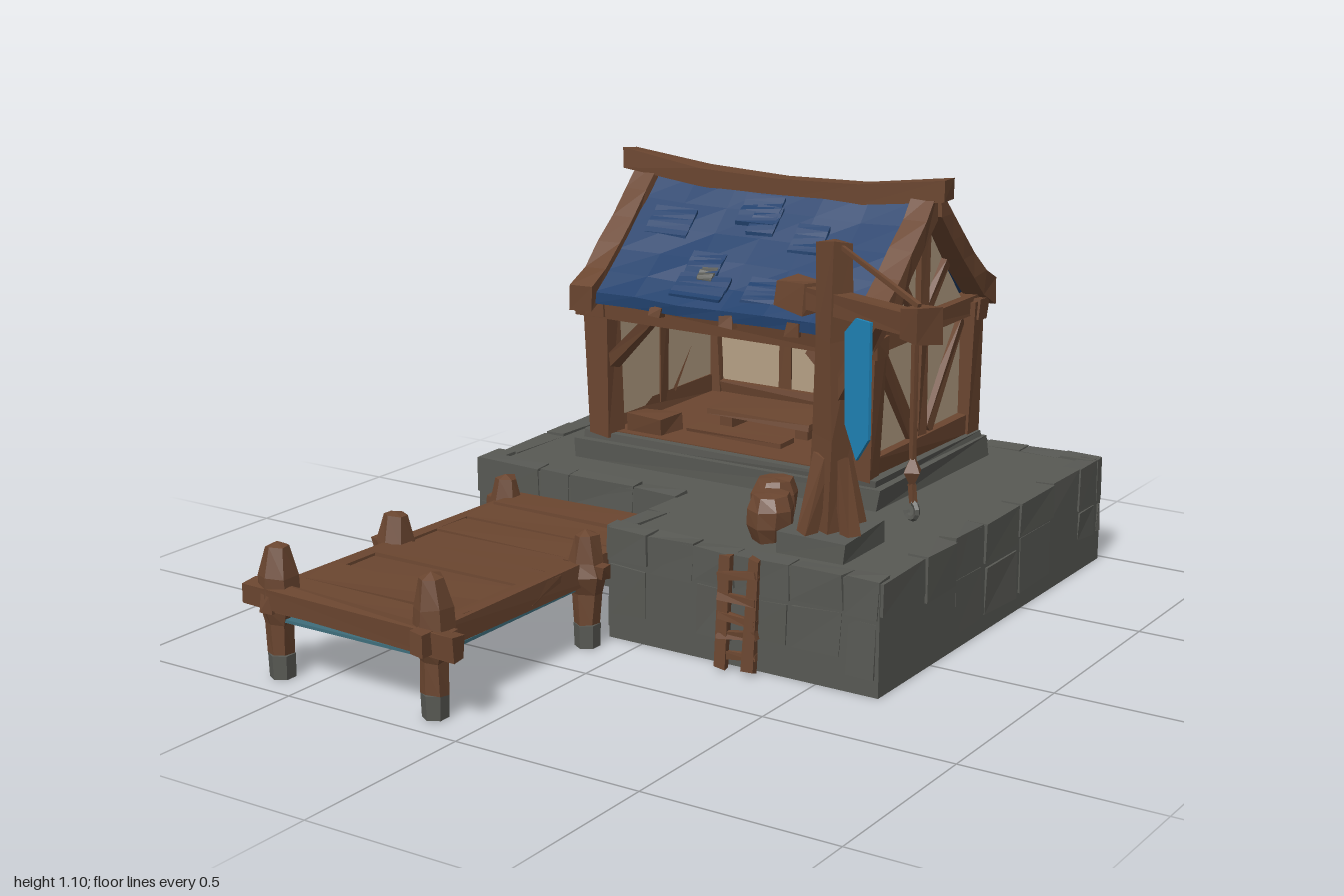
import * as THREE from 'three';

const mat = (name, color) => Object.assign(new THREE.MeshStandardMaterial({ color }), { name });

export function createModel() {
  const model = new THREE.Group();
  model.name = 'harbourHut';
  const stone = mat('stone', 0x585954), wood = mat('wood', 0x6b4630), plaster = mat('plaster', 0xb5a085);
  const roofBlue = mat('roofBlue', 0x1f3f6b), flagBlue = mat('flagBlue', 0x2084b8), teal = mat('teal', 0x3f6e7c);

  let seed = 7;
  const rand = (a = 0, b = 1) => {
    seed = (seed * 16807) % 2147483647;
    return a + (b - a) * (seed / 2147483647);
  };
  // Nudges corners by position so shared corners stay together, then facets the shape
  const chip = (geo, amt) => {
    const p = geo.attributes.position, k = rand(1, 9), moved = new Map();
    for (let i = 0; i < p.count; i++) {
      const key = [p.getX(i), p.getY(i), p.getZ(i)].map((v) => Math.round(v * 1e4)).join();
      if (!moved.has(key)) moved.set(key, [0, 1, 2].map(() => rand(-amt, amt) * (k > 0 ? 1 : 0)));
      const m = moved.get(key);
      p.setXYZ(i, p.getX(i) + m[0], p.getY(i) + m[1], p.getZ(i) + m[2]);
    }
    const flat = geo.index ? geo.toNonIndexed() : geo;
    flat.computeVertexNormals();
    return flat;
  };
  const add = (parent, name, geo, material, x = 0, y = 0, z = 0, amt = 0) => {
    const m = new THREE.Mesh(chip(geo, amt), material);
    m.name = name;
    m.position.set(x, y, z);
    parent.add(m);
    return m;
  };
  const group = (name, x = 0, y = 0, z = 0, parent = model) => {
    const g = new THREE.Group();
    g.name = name;
    g.position.set(x, y, z);
    parent.add(g);
    return g;
  };
  // Box given by its limits on each axis
  const block = (parent, name, material, x0, x1, y0, y1, z0, z1, amt = 0) =>
    add(parent, name, new THREE.BoxGeometry(x1 - x0, y1 - y0, z1 - z0), material, (x0 + x1) / 2, (y0 + y1) / 2, (z0 + z1) / 2, amt);
  // Rough timber between two points
  const beam = (parent, name, a, b, w, d = w, amt = 0.006, material = wood) => {
    const A = new THREE.Vector3(...a), B = new THREE.Vector3(...b), dir = B.clone().sub(A);
    const m = add(parent, name, new THREE.BoxGeometry(w, dir.length(), d), material, 0, 0, 0, amt);
    m.position.copy(A).add(B).multiplyScalar(0.5);
    m.quaternion.setFromUnitVectors(new THREE.Vector3(0, 1, 0), dir.normalize());
    return m;
  };
  const extrude = (pts, depth) => new THREE.ExtrudeGeometry(
    new THREE.Shape(pts.map((p) => new THREE.Vector2(...p))), { depth, bevelEnabled: false });

  // Stone quay: L-shaped core with uneven edge stones
  const quay = group('quay');
  const outline = [[-0.75, -0.98], [-0.75, -0.05], [-0.1, -0.05], [-0.1, 0.26], [0.67, 0.26], [0.67, -0.98]];
  add(quay, 'quayCore', extrude(outline.map(([x, z]) => [x, -z]), 0.283).rotateX(-Math.PI / 2), stone);
  outline.forEach(([x0, z0], i) => {
    const [x1, z1] = outline[(i + 1) % outline.length];
    const len = Math.hypot(x1 - x0, z1 - z0), side = group('quaySide', x0, 0, z0, quay);
    side.rotation.y = -Math.atan2(z1 - z0, x1 - x0);
    for (let s = 0; s < len - 0.02;) {
      const e = Math.min(len, s + rand(0.09, 0.22)), y = rand(0.17, 0.22), out = rand(0.002, 0.009);
      block(side, 'edgeStone', stone, s + 0.003, e - 0.003, y, rand(0.284, 0.292), -0.05, out, 0.003);
      if (rand() > 0.35) block(side, 'lowerStone', stone, s + 0.01, e - 0.01, rand(0.0, 0.08) + 0.006, y - 0.012, -0.03, out * 0.8, 0.004);
      s = e;
    }
  });

  // Jetty: planks on side rails, with chunky posts
  const jetty = group('jetty');
  for (let i = 0, z = -0.03; i < 8; i++, z += 0.1225)
    block(jetty, 'plank', wood, -0.6 + rand(-0.01, 0.01), -0.11 + rand(-0.01, 0.01), 0.175, 0.215 + rand(0, 0.012), z, z + 0.118, 0.004);
  block(jetty, 'jettyUnderside', teal, -0.59, -0.12, 0.148, 0.156, -0.03, 0.93);
  for (const x of [-0.6, -0.12]) beam(jetty, 'sideRail', [x, 0.19, x < -0.3 ? 0 : 0.26], [x, 0.2, x < -0.3 ? 0.96 : 0.99], 0.035, 0.055);
  beam(jetty, 'frontRail', [-0.67, 0.21, 0.93], [-0.04, 0.19, 0.93], 0.055, 0.045);
  for (const [x, z, h] of [[-0.6, 0.91, 0.34], [-0.13, 0.91, 0.35], [-0.61, 0.47, 0.3], [-0.11, 0.34, 0.3], [-0.61, 0.01, 0.28]]) {
    const profile = [[0.033, 0.06], [0.035, 0.14], [0.052, 0.19], [0.046, h - 0.08], [0.03, h - 0.01], [0, h]];
    add(jetty, 'jettyPost', new THREE.LatheGeometry(profile.map((p) => new THREE.Vector2(...p)), 6), wood, x, 0, z, 0.004);
    add(jetty, 'postFoot', new THREE.CylinderGeometry(0.034, 0.032, 0.06, 6), stone, x, 0.03, z);
    beam(jetty, 'postPeg', [x - 0.06, 0.2, z], [x + 0.06, 0.2, z], 0.035);
  }

  // House: open at the front, timber frame with plaster panels
  const house = group('house', -0.08, 0, -0.54);
  block(house, 'plinth', stone, -0.47, 0.47, 0.28, 0.335, -0.305, 0.31, 0.008);
  block(house, 'plinthTop', stone, -0.455, 0.455, 0.33, 0.355, -0.295, 0.295, 0.004);
  block(house, 'floor', wood, -0.4, 0.4, 0.35, 0.36, -0.27, 0.27);
  block(house, 'backWall', plaster, -0.4, 0.4, 0.36, 0.7, -0.28, -0.26);
  for (const x of [-0.15, 0, 0.15]) beam(house, 'backStud', [x, 0.37, -0.262], [x, 0.69, -0.262], 0.04, 0.02, 0.004);
  beam(house, 'backCentrePost', [0, 0.37, -0.28], [0, 0.69, -0.28], 0.045, 0.03);
  for (const z of [-0.28, 0.28]) {
    beam(house, 'eaveBeam', [-0.48, 0.7, z], [0.46, 0.7, z], 0.055, 0.055);
  }
  beam(house, 'backSill', [-0.42, 0.375, -0.275], [0.42, 0.375, -0.275], 0.045, 0.055);
  for (const s of [-1, 1]) {
    const x = s * 0.4, o = s * 0.41;
    for (const z of [-0.27, 0.27]) beam(house, 'cornerPost', [s * 0.4, 0.35, z], [s * 0.415, 0.72, z], 0.075, 0.065, 0.007);
    block(house, 'sideWall', plaster, x - 0.01, x + 0.01, 0.36, 0.71, -0.26, 0.26);
    const gable = add(house, 'gable', extrude([[-0.27, 0.7], [0.27, 0.7], [0.14, 0.84], [0, 1.0], [-0.14, 0.84]], 0.02), plaster, x - 0.01);
    gable.rotation.y = Math.PI / 2;
    beam(house, 'sideSill', [o, 0.38, -0.28], [o, 0.38, 0.28], 0.045, 0.055);
    beam(house, 'tieBeam', [o, 0.705, -0.31], [o, 0.705, 0.31], 0.06, 0.05);
    beam(house, 'sidePost', [o, 0.38, 0], [o, 0.69, 0], 0.04, 0.045);
    beam(house, 'kingPost', [o, 0.71, 0], [o, 1.02, 0], 0.04, 0.04);
    for (const t of [-1, 1]) {
      beam(house, 'sideBrace', [o, 0.67, t * 0.23], [o, 0.41, t * 0.04], 0.035, 0.032);
      beam(house, 'gableBrace', [o, 0.73, t * 0.03], [o, 0.85, t * 0.13], 0.035, 0.032);
    }
    beam(house, 'backBrace', [s * 0.36, 0.67, -0.28], [s * 0.2, 0.4, -0.28], 0.035, 0.03);
    beam(house, 'frontBrace', [s * 0.38, 0.55, 0.27], [s * 0.25, 0.68, 0.27], 0.03, 0.035);
  }

  // Roof: each slope is a box bent along a sagging curve
  const bent = (parent, name, material, x0, x1, t0, t1, thick, lift, amt = 0.003) => {
    const geo = new THREE.BoxGeometry(x1 - x0, thick, 1, x1 - x0 > 0.3 ? 6 : 1, 1, 5).translate((x0 + x1) / 2, lift, 0.5);
    const p = geo.attributes.position;
    for (let i = 0; i < p.count; i++) {
      const t = t0 + (t1 - t0) * p.getZ(i);
      p.setXYZ(i, p.getX(i), p.getY(i) + 0.735 + 0.285 * Math.pow(Math.max(0, 1 - t), 1.15) - 0.06 * Math.max(0, t - 1), 0.01 + 0.31 * t);
    }
    return add(parent, name, geo, material, 0, 0, 0, amt);
  };
  for (const turn of [0, Math.PI]) {
    const slope = group('roofSlope', 0, 0, 0, house);
    slope.rotation.y = turn;
    bent(slope, 'roofCover', roofBlue, -0.405, 0.405, 0, 1, 0.03, 0, 0.004);
    for (let i = 0; i < 7; i++) {
      const x = rand(-0.38, 0.2), t = rand(0.1, 0.75);
      bent(slope, 'roofSlate', roofBlue, x, x + rand(0.07, 0.16), t, t + 0.2, 0.014, 0.014, 0.002);
    }
    bent(slope, 'roofHole', stone, -0.12, -0.07, 0.66, 0.78, 0.008, 0.02, 0.004);
    for (const x of [-0.43, 0.43]) bent(slope, 'rafter', wood, x - 0.035, x + 0.035, 0, 1.06, 0.07, 0.005, 0.004);
    for (const x of [-0.2, 0.02, 0.22]) beam(slope, 'rafterEnd', [x, 0.72, 0.26], [x, 0.725, 0.325], 0.04, 0.03);
  }
  const ridge = new THREE.BoxGeometry(0.99, 0.055, 0.068, 4, 1, 1);
  for (let i = 0, p = ridge.attributes.position; i < p.count; i++) p.setY(i, p.getY(i) + 0.16 * p.getX(i) ** 2);
  add(house, 'ridgeBeam', ridge, wood, -0.005, 1.025, 0, 0.004);

  // Furniture under the roof
  block(house, 'table', wood, -0.18, 0.14, 0.395, 0.415, -0.08, 0.1, 0.004);
  for (const x of [-0.14, 0.1]) block(house, 'tableLeg', wood, x - 0.02, x + 0.02, 0.355, 0.4, -0.05, 0.07);
  block(house, 'bench', wood, -0.18, 0.12, 0.37, 0.385, 0.14, 0.21, 0.004);
  block(house, 'crate', wood, -0.34, -0.23, 0.355, 0.405, 0.16, 0.25, 0.008);

  // Crane: post, slanted arm, flag, rope and hook
  block(model, 'craneBase', stone, 0.35, 0.53, 0.28, 0.335, -0.02, 0.19, 0.008);
  const crane = group('crane', 0.44, 0, 0.09);
  crane.rotation.y = -0.39;
  add(crane, 'cranePost', new THREE.CylinderGeometry(0.042, 0.058, 0.71, 4, 3).rotateY(Math.PI / 4), wood, 0, 0.685, 0, 0.006);
  for (let i = 0; i < 4; i++) {
    const a = (i * Math.PI) / 2, c = Math.cos(a), s = Math.sin(a);
    beam(crane, 'footBrace', [c * 0.075, 0.33, s * 0.075], [c * 0.025, 0.52, s * 0.025], 0.035);
  }
  beam(crane, 'craneArm', [-0.18, 0.885, 0], [0.34, 0.9, 0], 0.055, 0.055);
  block(crane, 'armEnd', wood, 0.28, 0.35, 0.86, 0.94, -0.035, 0.035, 0.007);
  block(crane, 'armTail', wood, -0.19, -0.08, 0.855, 0.92, -0.035, 0.035, 0.007);
  beam(crane, 'armBrace', [0.02, 0.67, 0], [0.16, 0.88, 0], 0.04);
  add(crane, 'flag', extrude([[0.08, 0.84], [0.085, 0.62], [0.13, 0.54], [0.175, 0.6], [0.175, 0.88], [0.12, 0.88]], 0.008), flagBlue, 0, 0, 0.024);
  beam(crane, 'stay', [0.02, 1.03, 0], [0.31, 0.94, 0], 0.011, 0.011, 0.001);
  beam(crane, 'hoistRope', [0.3, 0.88, 0], [0.3, 0.58, 0], 0.013, 0.013, 0.001);
  add(crane, 'pulley', new THREE.OctahedronGeometry(0.026).scale(1, 1.7, 1), wood, 0.3, 0.55, 0);
  beam(crane, 'hookShank', [0.3, 0.52, 0], [0.305, 0.475, 0], 0.014, 0.014, 0.001, wood);
  add(crane, 'hook', new THREE.TorusGeometry(0.02, 0.008, 5, 8, 4.2).rotateZ(-2.9), stone, 0.3, 0.458, 0);

  // Barrels by the crane
  const staves = [[0, 0], [0.045, 0], [0.06, 0.04], [0.06, 0.08], [0.045, 0.115], [0, 0.118]].map((p) => new THREE.Vector2(...p));
  for (const [x, z] of [[0.22, -0.005], [0.28, 0.11]]) add(model, 'barrel', new THREE.LatheGeometry(staves, 8), wood, x, 0.285, z, 0.003);

  // Ladder on the quay front
  const ladder = group('ladder');
  for (const x of [0.26, 0.34]) beam(ladder, 'ladderRail', [x, 0.01, 0.3], [x + 0.005, 0.29, 0.285], 0.025, 0.025);
  for (let i = 0; i < 5; i++) beam(ladder, 'rung', [0.25, 0.04 + i * 0.05, 0.298], [0.355, 0.045 + i * 0.05 + rand(-0.012, 0.012), 0.295], 0.018, 0.018, 0.003);

  return model;
}
